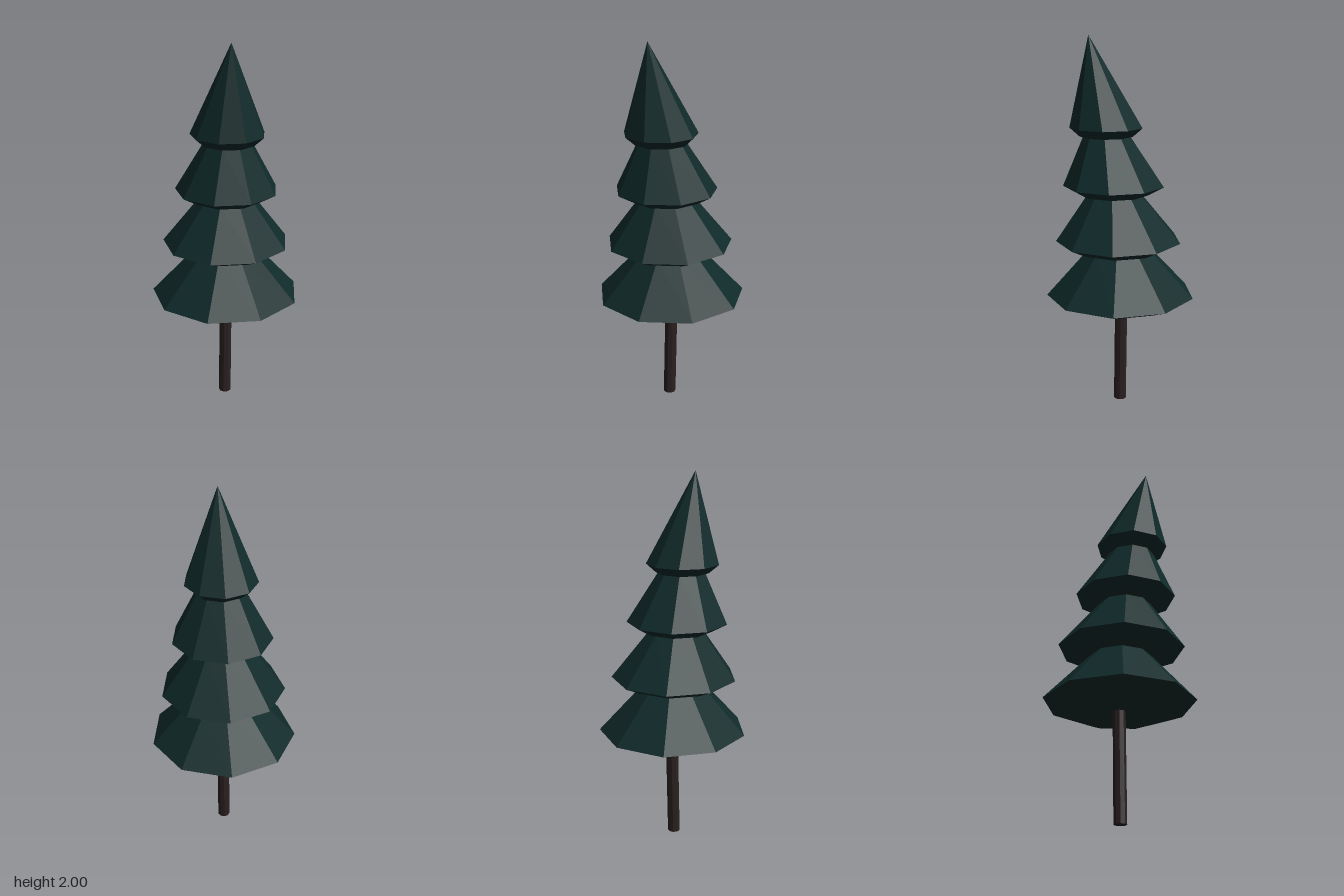
import * as THREE from 'three';

// Faceted skin through horizontal rings [y, radius, centreX, centreZ], listed from bottom to top
function loft(rings, sides, turn) {
  const point = ([y, r, cx, cz], i) => {
    const a = turn + (i % sides) * Math.PI * 2 / sides;
    return [cx + r * Math.sin(a), y, cz - r * Math.cos(a)];
  };
  const pos = [];
  for (let k = 0; k < rings.length - 1; k++) {
    const low = rings[k], high = rings[k + 1];
    for (let i = 0; i < sides; i++) {
      const a = point(low, i), b = point(low, i + 1);
      const c = point(high, i + 1), d = point(high, i);
      if (high[1] > 0) pos.push(...a, ...d, ...c);
      if (low[1] > 0) pos.push(...a, ...c, ...b);
    }
  }
  const geometry = new THREE.BufferGeometry();
  geometry.setAttribute('position', new THREE.Float32BufferAttribute(pos, 3));
  geometry.computeVertexNormals();
  return geometry;
}

export function createModel() {
  const needles = new THREE.MeshStandardMaterial({ color: 0x102a2a, flatShading: true });
  needles.name = 'needleGreen';
  const bark = new THREE.MeshStandardMaterial({ color: 0x2b2020, flatShading: true });
  bark.name = 'barkBrown';

  const tree = new THREE.Group();
  tree.name = 'pineTree';
  const add = (name, geometry, material) => {
    const mesh = new THREE.Mesh(geometry, material);
    mesh.name = name;
    tree.add(mesh);
  };

  // Slightly leaning trunk, running up into the lowest tier
  add('trunk', loft([
    [0, 0, -0.007, 0.01], [0, 0.034, -0.007, 0.01],
    [0.62, 0.034, 0, 0], [0.62, 0, 0, 0],
  ], 9, 0.04), bark);

  // Tiers: underside radius, widest radius and top radius, drifting forward with height
  const tiers = [
    { y: 0.58, under: 0.285, rim: 0.4, top: 0.165, z: 0.005 },
    { y: 0.88, under: 0.24, rim: 0.337, top: 0.143, z: 0.015 },
    { y: 1.18, under: 0.188, rim: 0.27, top: 0.126, z: 0.04 },
    { y: 1.485, under: 0.142, rim: 0.194, top: 0, z: 0.08 },
  ];
  tiers.forEach((t, i) => {
    const next = tiers[i + 1];
    const topY = next ? next.y : 2;
    const topZ = next ? next.z - 0.004 : 0.173;
    const rings = [
      [t.y, 0, 0, t.z], [t.y, t.under, 0, t.z],
      [t.y + 0.046, t.rim, -0.002, t.z], [topY, t.top, 0, topZ],
    ];
    add('foliageTier' + (i + 1), loft(rings, 9, 0.035), needles);
  });

  return tree;
}
